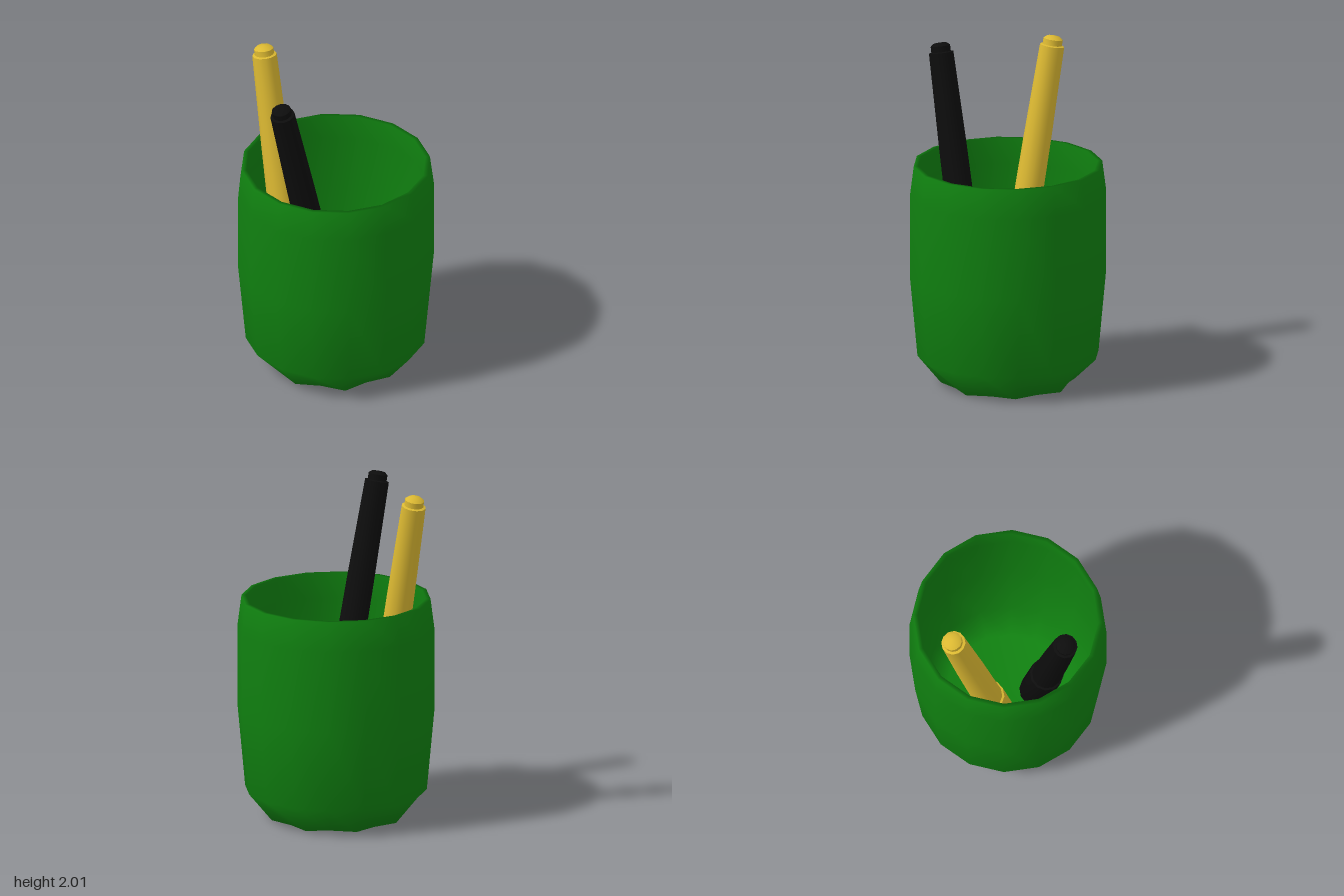
import * as THREE from 'three';
import { toCreasedNormals } from 'three/addons/utils/BufferGeometryUtils.js';

const material = (name, color) => {
  const m = new THREE.MeshStandardMaterial({ color });
  m.name = name;
  return m;
};
const profile = (pairs) => pairs.map(([r, y]) => new THREE.Vector2(r, y));

function addMesh(parent, name, geometry, mat) {
  const mesh = new THREE.Mesh(geometry, mat);
  mesh.name = name;
  parent.add(mesh);
  return mesh;
}

// Hollow cup: outer wall, rim, inner wall and floor in one smooth lathe
function cupGeometry() {
  const points = profile([
    [0, 0], [0.4, 0], [0.54, 0.17], [0.585, 0.66], [0.585, 1.16], [0.562, 1.34],
    [0.535, 1.34], [0.55, 1.18], [0.55, 0.66], [0.49, 0.2], [0.37, 0.05], [0, 0.05],
  ]);
  const sides = 16;
  const geo = new THREE.LatheGeometry(points, sides, THREE.MathUtils.degToRad(17.5));
  // Every second corner of the foot is drawn in
  const pos = geo.attributes.position;
  for (let i = 1; i < sides; i += 2) {
    const k = i * points.length + 1;
    pos.setXYZ(k, pos.getX(k) * 0.88, 0, pos.getZ(k) * 0.88);
  }
  return geo;
}

// Pen standing on its cap, with the clip on the local -z side
function makePen(name, mat, bottom, top, spin) {
  const pen = new THREE.Group();
  pen.name = name;
  const lathe = (pairs) => toCreasedNormals(new THREE.LatheGeometry(profile(pairs), 12), 0.7);
  addMesh(pen, 'cap', lathe([[0, 0], [0.085, 0], [0.1, 0.03], [0.1, 0.72], [0.08, 0.73]]), mat);
  addMesh(pen, 'barrel', lathe([[0.088, 0.72], [0.083, 1.34], [0.073, 1.92], [0.058, 1.925]]), mat);
  addMesh(pen, 'endPlug', lathe([[0.058, 1.92], [0.058, 1.96], [0.04, 1.975], [0, 1.98]]), mat);
  const clip = addMesh(pen, 'clip', new THREE.BoxGeometry(0.04, 0.62, 0.02), mat);
  clip.position.set(0, 0.4, -0.125);
  const root = addMesh(pen, 'clipRoot', new THREE.BoxGeometry(0.04, 0.06, 0.05), mat);
  root.position.set(0, 0.12, -0.11);
  const ball = addMesh(pen, 'clipBall', new THREE.SphereGeometry(0.02, 10, 8), mat);
  ball.position.set(0, 0.7, -0.118);

  const axis = top.clone().sub(bottom).normalize();
  pen.quaternion.setFromUnitVectors(new THREE.Vector3(0, 1, 0), axis);
  pen.rotateY(spin);
  pen.position.copy(bottom);
  return pen;
}

export function createModel() {
  const green = material('cup green', 0x108010);
  const yellow = material('pen yellow', 0xdcb932);
  const black = material('pen black', 0x0d0d0d);

  const model = new THREE.Group();
  model.name = 'penCup';
  addMesh(model, 'cup', cupGeometry(), green);
  model.add(
    makePen('yellowPen', yellow, new THREE.Vector3(-0.09, 0.06, 0.2), new THREE.Vector3(-0.46, 2, 0.2), 0),
    makePen('blackPen', black, new THREE.Vector3(0.155, 0.06, 0.055), new THREE.Vector3(0.145, 1.98, 0.505), Math.PI),
  );
  return model;
}
